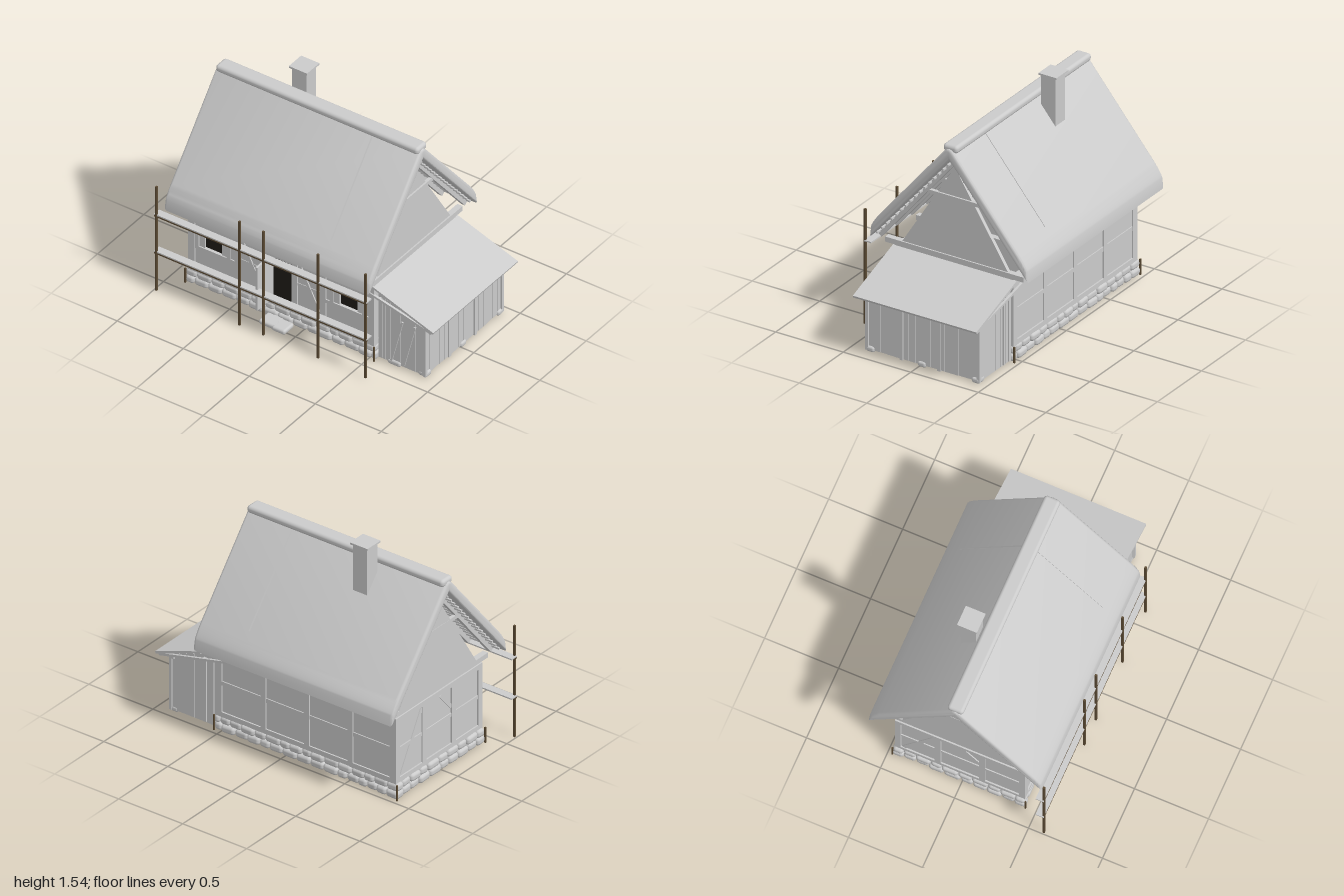
import * as THREE from 'three';
import { RoundedBoxGeometry } from 'three/addons/geometries/RoundedBoxGeometry.js';
import { toCreasedNormals } from 'three/addons/utils/BufferGeometryUtils.js';

const grey = new THREE.MeshStandardMaterial({ color: 0xcccccc });
const wood = new THREE.MeshStandardMaterial({ color: 0x5e4d36 });
const dark = new THREE.MeshStandardMaterial({ color: 0x1f1b17 });
const ZC = -0.02; // ridge line

let seed = 7;
const rand = () => (seed = (seed * 16807) % 2147483647) / 2147483647;

export function createModel() {
  seed = 7;
  const model = new THREE.Group();
  const part = (name) => {
    const g = new THREE.Group();
    g.name = name;
    model.add(g);
    return g;
  };
  const add = (parent, name, geo, mat = grey) => {
    const m = new THREE.Mesh(geo, mat);
    m.name = name;
    parent.add(m);
    return m;
  };
  // Box given by its limits on each axis
  const box = (parent, name, x0, x1, y0, y1, z0, z1, mat) => {
    const m = add(parent, name, new THREE.BoxGeometry(x1 - x0, y1 - y0, z1 - z0), mat);
    m.position.set((x0 + x1) / 2, (y0 + y1) / 2, (z0 + z1) / 2);
    return m;
  };
  // Square timber between two points
  const beam = (parent, name, a, b, w, h = w, mat = grey) => {
    const p = new THREE.Vector3(...a), q = new THREE.Vector3(...b);
    const m = add(parent, name, new THREE.BoxGeometry(w, h, p.distanceTo(q)), mat);
    m.position.copy(p).lerp(q, 0.5);
    m.lookAt(q);
    return m;
  };
  // Profile in (z, y) extruded from x0 to x1
  const extrudeX = (shape, x0, x1, opts = {}) => {
    const t = opts.bevelThickness || 0;
    const g = new THREE.ExtrudeGeometry(shape, { depth: x1 - x0 - 2 * t, bevelEnabled: false, ...opts });
    return g.rotateY(-Math.PI / 2).translate(x1 - t, 0, 0);
  };
  const polygon = (pts) => new THREE.Shape(pts.map((p) => new THREE.Vector2(...p)));

  // Stone footing: two courses of rounded stones
  const footing = part('stoneFooting');
  const stoneRow = (x0, z0, x1, z1) => {
    const len = Math.hypot(x1 - x0, z1 - z0), ang = Math.atan2(z0 - z1, x1 - x0);
    for (let row = 0; row < 2; row++) {
      for (let d = 0; d < len - 0.02;) {
        const l = Math.min(0.065 + rand() * 0.05, len - d), t = (d + l / 2) / len;
        const m = add(footing, 'stone', new RoundedBoxGeometry(l, 0.056, 0.06 + rand() * 0.02, 2, 0.022));
        m.position.set(x0 + (x1 - x0) * t, 0.03 + row * 0.052, z0 + (z1 - z0) * t);
        m.rotation.set((rand() - 0.5) * 0.15, ang, (rand() - 0.5) * 0.1);
        d += l;
      }
    }
  };
  stoneRow(-0.89, 0.39, 0.55, 0.39);
  stoneRow(-0.89, -0.435, 0.55, -0.435);
  for (const x of [-0.85, -0.17, 0.51]) stoneRow(x, -0.4, x, 0.36);
  for (const x of [-0.885, 0.545]) for (const z of [0.43, -0.47])
    box(footing, 'cornerStake', x - 0.005, x + 0.005, 0, 0.11, z - 0.005, z + 0.005, wood);
  for (const [x, z, w] of [[-0.2, 0.47, 0.13], [-0.11, 0.48, 0.1]]) {
    add(footing, 'doorstep', new RoundedBoxGeometry(w, 0.035, 0.11, 2, 0.015)).position.set(x, 0.018, z);
  }

  // Front wall with door and window openings
  const walls = part('walls');
  const openings = [[-0.75, -0.62, 0.31, 0.415], [0.27, 0.405, 0.31, 0.415], [-0.24, -0.085, 0.14, 0.47]];
  const face = polygon([[-0.86, 0.1], [0.53, 0.1], [0.53, 0.575], [-0.86, 0.575]]);
  for (const [a, b, c, d] of openings) {
    face.holes.push(new THREE.Path([[a, c], [a, d], [b, d], [b, c]].map((p) => new THREE.Vector2(...p))));
    box(walls, 'darkOpening', a, b, c, d, 0.388, 0.396, dark);
  }
  add(walls, 'frontWall', new THREE.ExtrudeGeometry(face, { depth: 0.03, bevelEnabled: false }).translate(0, 0, 0.38));
  box(walls, 'backWall', -0.86, 0.53, 0.1, 0.575, -0.45, -0.42);
  box(walls, 'leftEndWall', 0.5, 0.53, 0.1, 0.6, -0.42, 0.38);
  box(walls, 'rightEndWall', -0.86, -0.83, 0.1, 0.6, -0.42, 0.38);
  box(walls, 'partition', -0.185, -0.155, 0.1, 0.575, -0.42, 0.38);
  const gable = polygon([[0.375, 0.6], [ZC, 1.23], [-0.42, 0.6]]);
  for (const x of [-0.86, 0.505]) add(walls, 'gable', extrudeX(gable, x, x + 0.025));

  // Timber frame
  const frame = part('timberFrame');
  for (const [z0, z1] of [[0.375, 0.42], [-0.46, -0.415]]) {
    box(frame, 'sill', -0.87, 0.54, 0.105, 0.14, z0, z1);
    box(frame, 'wallPlate', -0.87, 0.54, 0.54, 0.575, z0, z1);
  }
  for (const x of [-0.84, -0.5, -0.26, -0.065, 0.15, 0.515])
    box(frame, 'frontPost', x - 0.02, x + 0.02, 0.14, 0.54, 0.4, 0.42);
  for (const x of [-0.84, -0.51, -0.17, 0.17, 0.515])
    box(frame, 'backPost', x - 0.02, x + 0.02, 0.14, 0.54, -0.46, -0.44);
  box(frame, 'backRail', -0.86, 0.53, 0.33, 0.36, -0.457, -0.44);
  box(frame, 'lintel', -0.26, -0.065, 0.47, 0.495, 0.4, 0.42);
  for (const [x0, x1, a, b] of [[-0.84, -0.5, -0.75, -0.62], [0.15, 0.515, 0.27, 0.405]]) {
    box(frame, 'upperRail', x0, x1, 0.415, 0.44, 0.4, 0.418);
    box(frame, 'lowerRail', x0, x1, 0.285, 0.31, 0.4, 0.418);
    for (const x of [a - 0.055, b + 0.055]) box(frame, 'windowStud', x - 0.014, x + 0.014, 0.31, 0.415, 0.4, 0.418);
  }
  for (const x of [-0.5, -0.065])
    beam(frame, 'frontBrace', [x + 0.02, 0.52, 0.405], [x + 0.2, 0.15, 0.405], 0.026, 0.022);
  box(frame, 'braceRail', -0.48, -0.28, 0.325, 0.345, 0.4, 0.414);
  box(frame, 'braceRail', -0.05, 0.13, 0.325, 0.345, 0.4, 0.414);
  for (const x of [-0.87, 0.52]) {
    box(frame, 'endSill', x, x + 0.02, 0.105, 0.14, -0.46, 0.42);
    box(frame, 'endPlate', x, x + 0.02, 0.54, 0.575, -0.46, 0.42);
    for (const z of [-0.44, -0.17, 0.13, 0.4]) box(frame, 'endPost', x, x + 0.02, 0.14, 0.54, z - 0.02, z + 0.02);
  }
  box(frame, 'endRail', -0.867, -0.85, 0.33, 0.355, -0.44, 0.4);
  beam(frame, 'endBrace', [-0.858, 0.15, -0.4], [-0.858, 0.53, -0.19], 0.018, 0.026);
  beam(frame, 'endBrace', [-0.858, 0.53, 0.0], [-0.858, 0.4, 0.11], 0.018, 0.026);
  for (const x of [-0.84, -0.51, -0.17, 0.17, 0.52])
    box(frame, 'joist', x - 0.02, x + 0.02, 0.575, 0.61, -0.535, 0.49);

  // Open door leaf
  box(part('doorLeaf'), 'doorLeaf', -0.255, -0.24, 0.14, 0.47, 0.42, 0.57);

  // Rafters, collar beams and battens
  const rafters = part('rafters');
  for (let i = 0; i < 9; i++) {
    const x = -0.85 + i * 0.1725;
    for (const s of [1, -1])
      beam(rafters, 'rafter', [x, 0.615, ZC + s * 0.545], [x, 1.27, ZC], 0.03);
    box(rafters, 'collarBeam', x - 0.012, x + 0.012, 1.005, 1.03, ZC - 0.2, ZC + 0.2);
  }
  for (let i = 0; i < 16; i++) {
    const t = (i + 0.3) / 16;
    for (const s of [1, -1]) {
      const y = 0.63 + t * 0.655, z = ZC + s * 0.558 * (1 - t);
      box(rafters, 'batten', -0.92, 0.575, y - 0.006, y + 0.006, z - 0.006, z + 0.006);
    }
  }

  // Thatched roof with rounded eaves and ridge roll
  const roof = part('roof');
  const thatch = new THREE.Shape();
  thatch.moveTo(ZC, 1.31);
  thatch.lineTo(ZC - 0.585, 0.615);
  thatch.lineTo(ZC - 0.58, 0.69);
  thatch.quadraticCurveTo(ZC - 0.57, 0.72, ZC - 0.52, 0.785);
  thatch.lineTo(ZC - 0.03, 1.375);
  thatch.quadraticCurveTo(ZC, 1.405, ZC + 0.03, 1.375);
  thatch.lineTo(ZC + 0.52, 0.785);
  thatch.quadraticCurveTo(ZC + 0.57, 0.72, ZC + 0.58, 0.69);
  thatch.lineTo(ZC + 0.585, 0.615);
  thatch.closePath();
  const thatchGeo = extrudeX(thatch, -0.95, 0.605,
    { bevelEnabled: true, bevelThickness: 0.02, bevelSize: 0.02, bevelOffset: -0.02, bevelSegments: 4, curveSegments: 6 });
  add(roof, 'thatch', toCreasedNormals(thatchGeo, 0.6));
  add(roof, 'ridgeRoll', new RoundedBoxGeometry(1.535, 0.052, 0.108, 3, 0.022)).position.set(-0.173, 1.386, ZC - 0.004);
  for (const s of [1, -1])
    beam(roof, 'thatchSeam', [0.245, 0.83, ZC + s * 0.483], [0.245, 1.36, ZC + s * 0.043], 0.008, 0.006);

  // Chimney
  const chimney = part('chimney');
  box(chimney, 'chimneyStack', -0.445, -0.335, 1.1, 1.53, -0.2, -0.095);
  box(chimney, 'chimneyCap', -0.46, -0.322, 1.527, 1.54, -0.217, -0.083);

  // Lean-to shed of vertical planks
  const shed = part('shed');
  const planks = 16, step = 0.845 / planks;
  for (let i = 0; i < planks; i++) {
    const z = -0.45 + i * step, o = rand() * 0.005;
    box(shed, 'sidePlank', 0.885, 0.9 + o, 0.015, 0.415, z + 0.001, z + step - 0.001);
  }
  for (const z of [0.38, -0.44]) for (let i = 0; i < 6; i++) {
    const x = 0.55 + i * 0.056;
    box(shed, 'endPlank', x + 0.001, x + 0.055, 0.015, 0.53 - i * 0.02, z - 0.006, z + 0.006 + rand() * 0.004);
  }
  for (const z of [0.385, 0.13, -0.15, -0.44]) box(shed, 'sidePost', 0.893, 0.912, 0.01, 0.41, z - 0.012, z + 0.012);
  for (const z of [0.38, -0.44]) for (const x of [0.57, 0.63]) box(shed, 'endPost', x - 0.01, x + 0.01, 0.02, 0.48, z - 0.015, z + 0.015);
  for (const x of [0.65, 0.745]) beam(shed, 'doorBrace', [x, 0.03, 0.39], [x + 0.085, 0.36, 0.39], 0.016, 0.014);
  box(shed, 'shedPlate', 0.87, 0.9, 0.385, 0.415, -0.46, 0.41);
  box(shed, 'shedSill', 0.86, 0.885, 0.02, 0.045, -0.44, 0.38);
  for (const z of [0.36, -0.02, -0.42])
    add(shed, 'padStone', new RoundedBoxGeometry(0.07, 0.04, 0.06, 2, 0.016)).position.set(0.88, 0.02, z);
  add(shed, 'padStone', new RoundedBoxGeometry(0.1, 0.04, 0.06, 2, 0.016)).position.set(0.67, 0.02, 0.37);

  // Shed roof and its rafters
  const slope = new THREE.Shape([[0.53, 0.575], [0.53, 0.56], [0.99, 0.395], [0.996, 0.41]].map((p) => new THREE.Vector2(...p)));
  add(shed, 'shedRoof', new THREE.ExtrudeGeometry(slope, { depth: 0.915, bevelEnabled: false }).translate(0, 0, -0.483));
  for (let i = 0; i < 9; i++) {
    const z = -0.465 + i * 0.1105, edge = i % 8 === 0;
    beam(shed, 'shedRafter', edge ? [0.23, 0.57, z - (i ? 0.0 : 0.006)] : [0.53, 0.54, z], [0.975, 0.392, z], 0.016);
  }

  // Scaffold of poles, rails and narrow planks
  const scaffold = part('scaffold');
  for (const x of [-0.985, -0.355, -0.175, 0.24, 0.6])
    box(scaffold, 'pole', x - 0.007, x + 0.007, 0, 0.8, 0.591, 0.605, wood);
  for (const y of [0.295, 0.58]) {
    box(scaffold, 'scaffoldPlank', -1, 0.61, y - 0.004, y + 0.005, 0.548, 0.602);
    box(scaffold, 'scaffoldRail', -1, 0.61, y - 0.014, y - 0.004, 0.591, 0.603, wood);
  }
  return model;
}
